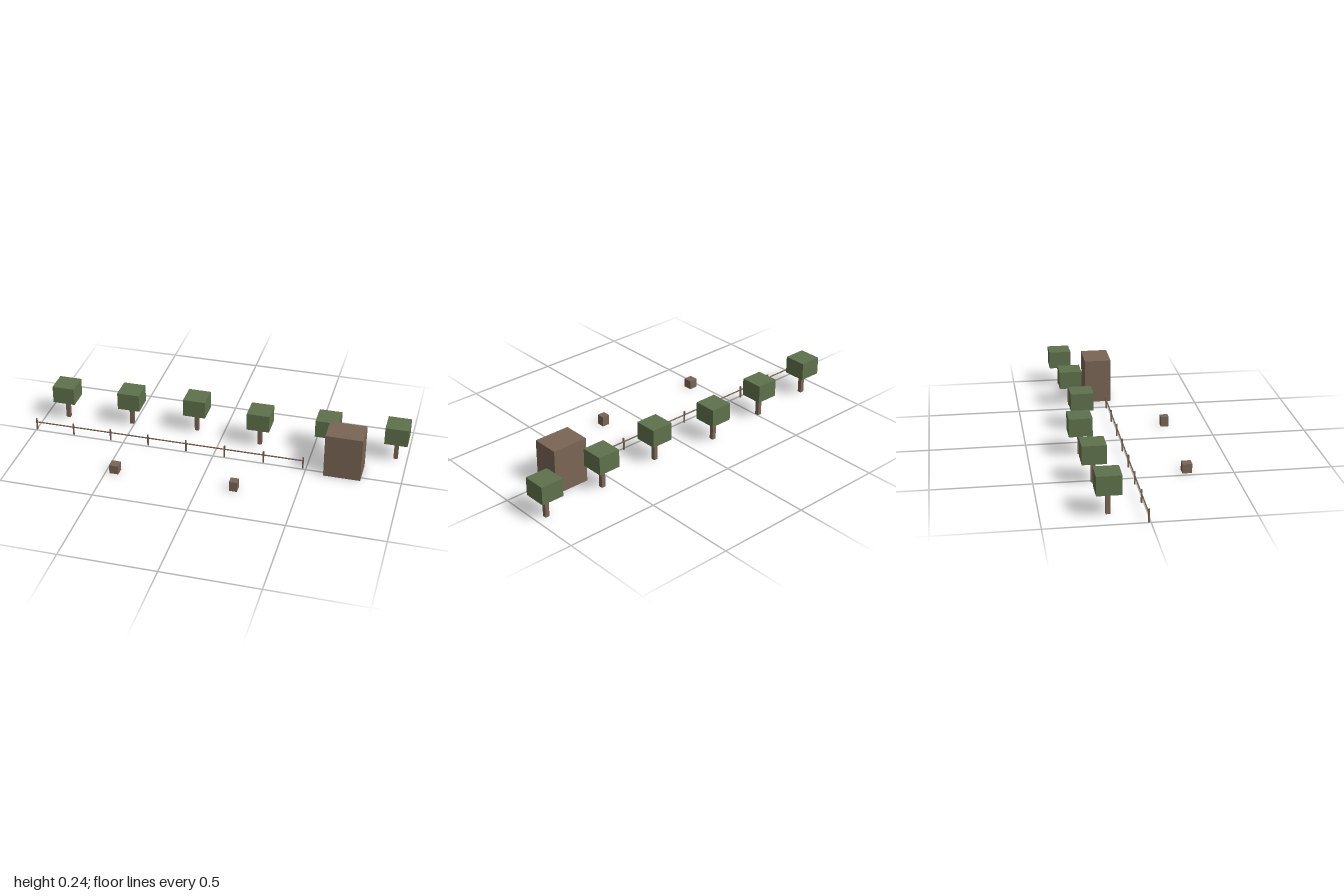
import * as THREE from 'three';

export function createModel() {
  const model = new THREE.Group();
  const wood = new THREE.MeshStandardMaterial({ color: 0x7a6555 });
  wood.name = 'brown wood';
  const leaf = new THREE.MeshStandardMaterial({ color: 0x5f714c });
  leaf.name = 'leaf green';

  // Box resting on height y
  const box = (name, parent, material, w, h, d, x, y, z) => {
    const mesh = new THREE.Mesh(new THREE.BoxGeometry(w, h, d), material);
    mesh.name = name;
    mesh.position.set(x, y + h / 2, z);
    parent.add(mesh);
  };

  // Row of six trees, staggered in depth
  for (let i = 0; i < 6; i++) {
    const tree = new THREE.Group();
    tree.name = 'tree';
    tree.position.set(-0.876 + i * 0.363, 0, -0.183 - (i % 3) * 0.0243);
    box('trunk', tree, wood, 0.022, 0.117, 0.022, 0, 0, 0);
    box('foliage', tree, leaf, 0.122, 0.097, 0.122, 0, 0.116, 0);
    model.add(tree);
  }

  // Fence: eight posts joined by one thin rail
  const fence = new THREE.Group();
  fence.name = 'fence';
  fence.position.z = -0.01;
  const start = -0.996, spacing = 0.2113;
  for (let i = 0; i < 8; i++) {
    box('fencePost', fence, wood, 0.0073, 0.068, 0.0073, start + i * spacing, 0, 0);
    if (i < 7) {
      box('fenceRail', fence, wood, spacing, 0.005, 0.005, start + (i + 0.5) * spacing, 0.044, 0);
    }
  }
  model.add(fence);

  // Shed and two crates
  box('shed', model, wood, 0.194, 0.243, 0.146, 0.695, 0, -0.0435);
  box('leftCrate', model, wood, 0.042, 0.055, 0.042, 0.181, 0, 0.266);
  box('rightCrate', model, wood, 0.0486, 0.049, 0.0486, -0.454, 0, 0.268);

  return model;
}
